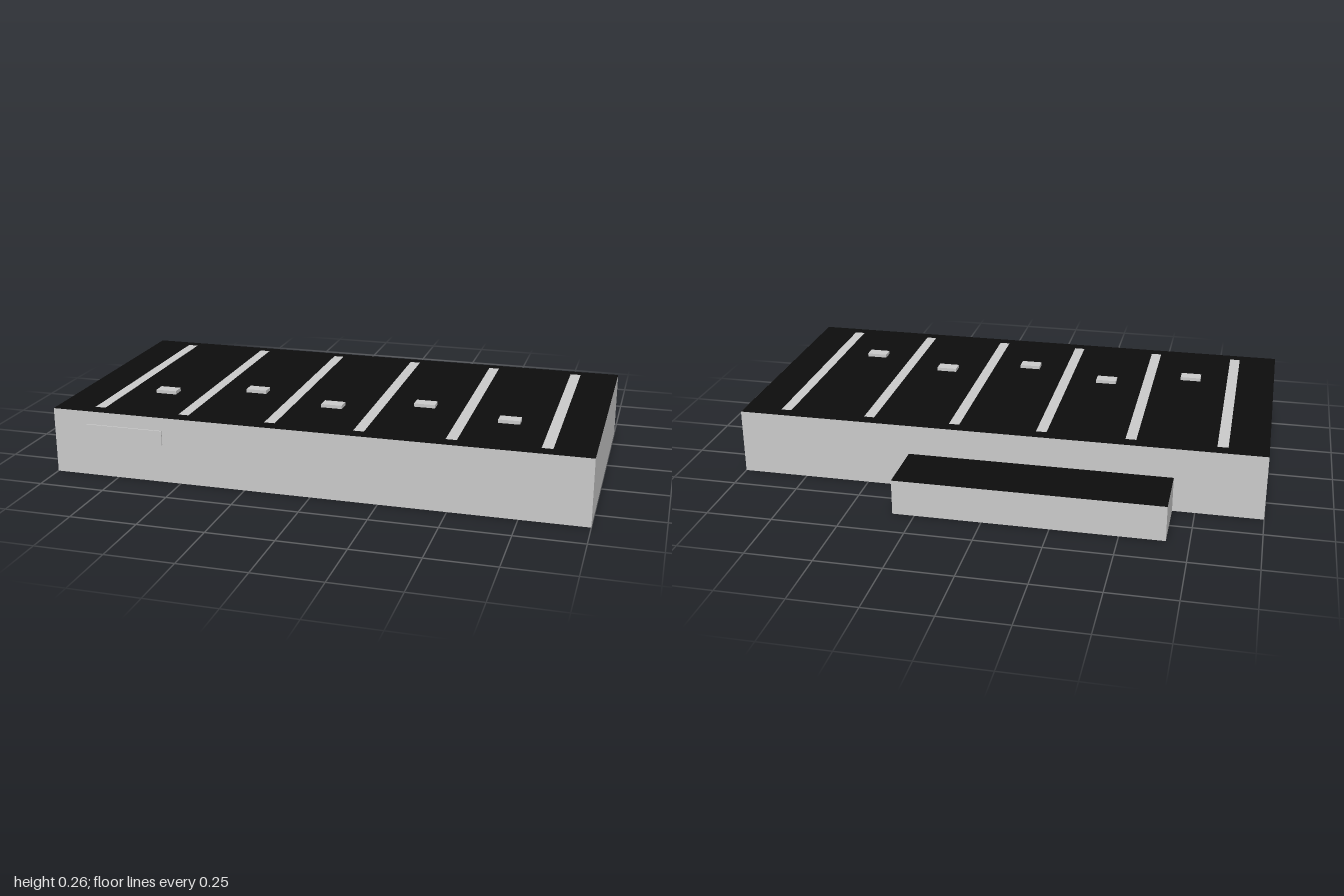
import * as THREE from 'three';

const grey = new THREE.MeshStandardMaterial({ color: 0xcccccc });
const shellGrey = new THREE.MeshStandardMaterial({ color: 0xcccccc, side: THREE.DoubleSide });
const black = new THREE.MeshStandardMaterial({ color: 0x0d0d0d, side: THREE.DoubleSide });

// Solid box given by its minimum and maximum corners
function block(name, [x0, y0, z0], [x1, y1, z1], material = grey) {
  const mesh = new THREE.Mesh(new THREE.BoxGeometry(x1 - x0, y1 - y0, z1 - z0), material);
  mesh.position.set((x0 + x1) / 2, (y0 + y1) / 2, (z0 + z1) / 2);
  mesh.name = name;
  return mesh;
}

// Thin-walled hall, open underneath: grey walls with a black roof.
// Box sides are numbered +x, -x, +y, -y, +z, -z.
function hall(name, min, max, wallSides) {
  const group = new THREE.Group();
  group.name = name;
  const addSides = (part, sides, material) => {
    const mesh = block(part, min, max, material);
    const index = Array.from(mesh.geometry.index.array);
    mesh.geometry.setIndex(sides.flatMap((s) => index.slice(s * 6, s * 6 + 6)));
    mesh.geometry.clearGroups();
    group.add(mesh);
  };
  addSides(name + 'Walls', wallSides, shellGrey);
  addSides(name + 'Roof', [2], black);
  return group;
}

export function createModel() {
  const model = new THREE.Group();
  model.name = 'warehouse';
  const roofY = 0.25;

  // Main hall and the low annex against its back wall
  model.add(hall('mainHall', [-1, 0, -0.385], [1, roofY, 0.612], [0, 1, 4, 5]));
  model.add(hall('annex', [-0.667, 0, -0.617], [0.333, 0.135, -0.385], [0, 1, 5]));

  // Flat skylight strips across the roof
  for (let i = 0; i < 6; i++) {
    const x = (i - 2.5) / 3;
    const strip = new THREE.Mesh(new THREE.PlaneGeometry(0.04, 0.9), grey);
    strip.rotation.x = -Math.PI / 2;
    strip.position.set(x, roofY + 0.002, 0.112);
    strip.name = 'skylightStrip';
    model.add(strip);
  }

  // Staggered roof vents between the strips
  for (let i = 0; i < 5; i++) {
    const x = (i - 2) / 3;
    const z = i % 2 ? 0.212 : 0.312;
    model.add(block('roofVent', [x - 0.04, roofY, z - 0.024], [x + 0.04, roofY + 0.013, z + 0.024]));
  }

  // Blank sign board on the front wall
  model.add(block('signBoard', [-0.867, 0.145, 0.612], [-0.567, 0.2, 0.617]));
  return model;
}
